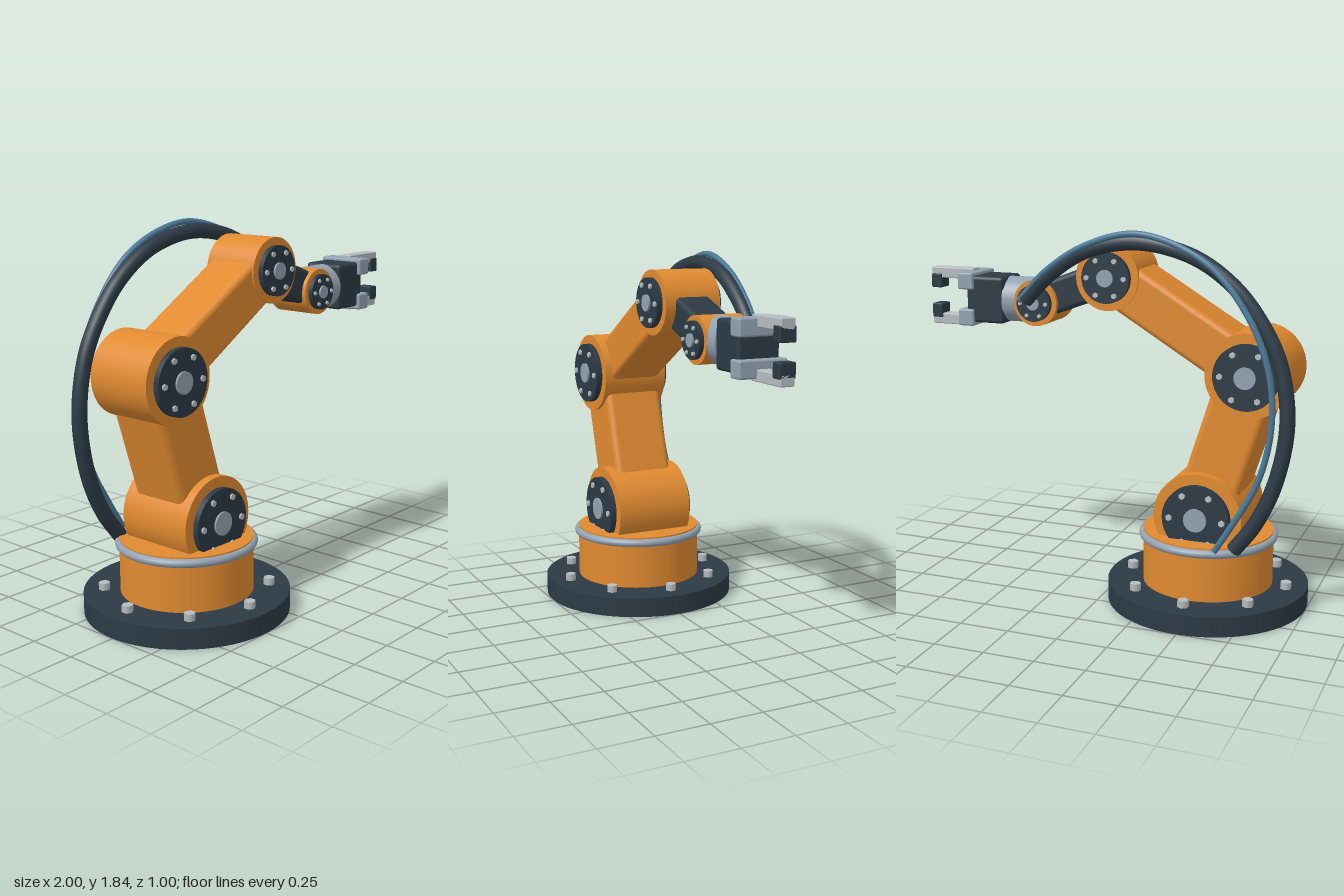
import * as THREE from 'three';
import { RoundedBoxGeometry } from 'three/addons/geometries/RoundedBoxGeometry.js';

const mat = (name, color) => {
  const m = new THREE.MeshStandardMaterial({ color });
  m.name = name;
  return m;
};

export function createModel() {
  const orange = mat('orange paint', 0xe08a30);
  const dark = mat('dark slate', 0x2c3a45);
  const steel = mat('blue steel', 0x93a2b1);
  const light = mat('light steel', 0xb6bcc0);
  const blue = mat('blue hose', 0x4a7897);

  const model = new THREE.Group();
  model.name = 'robotArm';

  const add = (parent, name, geometry, material, x = 0, y = 0, z = 0) => {
    const mesh = new THREE.Mesh(geometry, material);
    mesh.name = name;
    mesh.position.set(x, y, z);
    parent.add(mesh);
    return mesh;
  };
  const box = (parent, name, material, size, pos, r) =>
    add(parent, name, new RoundedBoxGeometry(...size, 3, r), material, ...pos);
  // Cylinder lying along z
  const zCylinder = (r, length, sides = 48) =>
    new THREE.CylinderGeometry(r, r, length, sides).rotateX(Math.PI / 2);

  // Base plate, anchor bolts, turret and its ring
  const base = new THREE.Group();
  base.name = 'base';
  base.position.x = -0.5;
  model.add(base);
  add(base, 'basePlate', new THREE.CylinderGeometry(0.5, 0.5, 0.1, 64), dark, 0, 0.05);
  for (let i = 0; i < 8; i++) {
    const a = (i * Math.PI) / 4;
    add(base, 'anchorBolt', new THREE.CylinderGeometry(0.028, 0.028, 0.05, 6), light,
      Math.cos(a) * 0.4, 0.11, Math.sin(a) * 0.4);
  }
  add(base, 'turret', new THREE.CylinderGeometry(0.323, 0.323, 0.27, 64), orange, 0, 0.235);
  add(base, 'turretRing', new THREE.TorusGeometry(0.323, 0.021, 12, 64).rotateX(Math.PI / 2),
    steel, 0, 0.342);

  // Joint drum with a bolted cover and hub on both sides
  function joint(name, [x, y], r, half, coverR, out, hubR, boltRing, boltR) {
    const g = new THREE.Group();
    g.name = name;
    g.position.set(x, y, 0);
    model.add(g);
    add(g, 'drum', zCylinder(r, half * 2, 64), orange);
    for (const s of [1, -1]) {
      add(g, 'cover', zCylinder(coverR, out - half + 0.02), dark, 0, 0, s * (out + half - 0.02) / 2);
      add(g, 'hub', zCylinder(hubR, 0.02, 32), steel, 0, 0, s * out);
      for (let i = 0; i < 6; i++) {
        const a = (i * Math.PI) / 3;
        add(g, 'coverBolt', zCylinder(boltR, 0.02, 6), light,
          Math.cos(a) * boltRing, Math.sin(a) * boltRing, s * out);
      }
    }
  }
  const shoulder = [-0.5, 0.475], elbow = [-0.72, 1.18];
  const upperWrist = [-0.015, 1.605], lowerWrist = [0.38, 1.458];
  joint('shoulder', shoulder, 0.22, 0.203, 0.168, 0.233, 0.057, 0.132, 0.016);
  joint('elbow', elbow, 0.204, 0.175, 0.157, 0.205, 0.052, 0.122, 0.015);
  joint('upperWrist', upperWrist, 0.16, 0.146, 0.122, 0.172, 0.041, 0.095, 0.013);
  joint('lowerWrist', lowerWrist, 0.115, 0.115, 0.09, 0.138, 0.032, 0.068, 0.01);

  // Rounded beam between two joint centres
  function link(name, material, a, b, width, depth, r) {
    const dx = b[0] - a[0], dy = b[1] - a[1];
    const mesh = box(model, name, material, [Math.hypot(dx, dy), width, depth],
      [(a[0] + b[0]) / 2, (a[1] + b[1]) / 2, 0], r);
    mesh.rotation.z = Math.atan2(dy, dx);
  }
  link('upperArm', orange, shoulder, elbow, 0.285, 0.315, 0.035);
  link('forearm', orange, elbow, upperWrist, 0.235, 0.275, 0.03);
  link('wristLink', dark, upperWrist, lowerWrist, 0.17, 0.188, 0.025);

  // Tool flange and gripper
  const gripper = new THREE.Group();
  gripper.name = 'gripper';
  gripper.position.y = lowerWrist[1];
  model.add(gripper);
  add(gripper, 'toolFlange',
    new THREE.CylinderGeometry(0.114, 0.114, 0.18, 48).rotateZ(Math.PI / 2), steel, 0.475);
  box(gripper, 'gripperBody', dark, [0.205, 0.235, 0.215], [0.662, 0, 0], 0.018);
  for (const s of [1, -1]) {
    box(gripper, 'jawBlock', steel, [0.085, 0.085, 0.248], [0.763, s * 0.092, 0], 0.01);
    box(gripper, 'finger', light, [0.24, 0.055, 0.072], [0.88, s * 0.119, 0], 0.006);
    box(gripper, 'fingerPad', dark, [0.058, 0.072, 0.084], [0.971, s * 0.077, 0], 0.006);
  }

  // Cable and hose running along the back of the arm
  function cable(name, material, r, points) {
    const curve = new THREE.CatmullRomCurve3(points.map((p) => new THREE.Vector3(...p)));
    add(model, name, new THREE.TubeGeometry(curve, 90, r, 12), material);
    for (const t of [0, 1]) {
      const cap = add(model, name + 'End', new THREE.CircleGeometry(r, 12), material);
      cap.position.copy(curve.getPointAt(t));
      const dir = curve.getTangentAt(t).multiplyScalar(t ? 1 : -1);
      cap.quaternion.setFromUnitVectors(new THREE.Vector3(0, 0, 1), dir);
    }
  }
  cable('powerCable', dark, 0.037, [
    [-0.70, 0.36, -0.255], [-0.80, 0.5, -0.257], [-0.89, 0.71, -0.255], [-0.935, 1.0, -0.247],
    [-0.89, 1.27, -0.242], [-0.79, 1.46, -0.238], [-0.66, 1.61, -0.234], [-0.47, 1.73, -0.227],
    [-0.2, 1.785, -0.214], [0.065, 1.737, -0.2], [0.27, 1.61, -0.187], [0.4, 1.48, -0.178],
  ]);
  cable('airHose', blue, 0.015, [
    [-0.62, 0.36, -0.31], [-0.71, 0.51, -0.312], [-0.82, 0.72, -0.312], [-0.875, 0.97, -0.31],
    [-0.86, 1.22, -0.308], [-0.76, 1.47, -0.3], [-0.55, 1.71, -0.287], [-0.22, 1.828, -0.262],
    [0.06, 1.765, -0.235], [0.28, 1.63, -0.21], [0.43, 1.48, -0.192],
  ]);

  return model;
}
